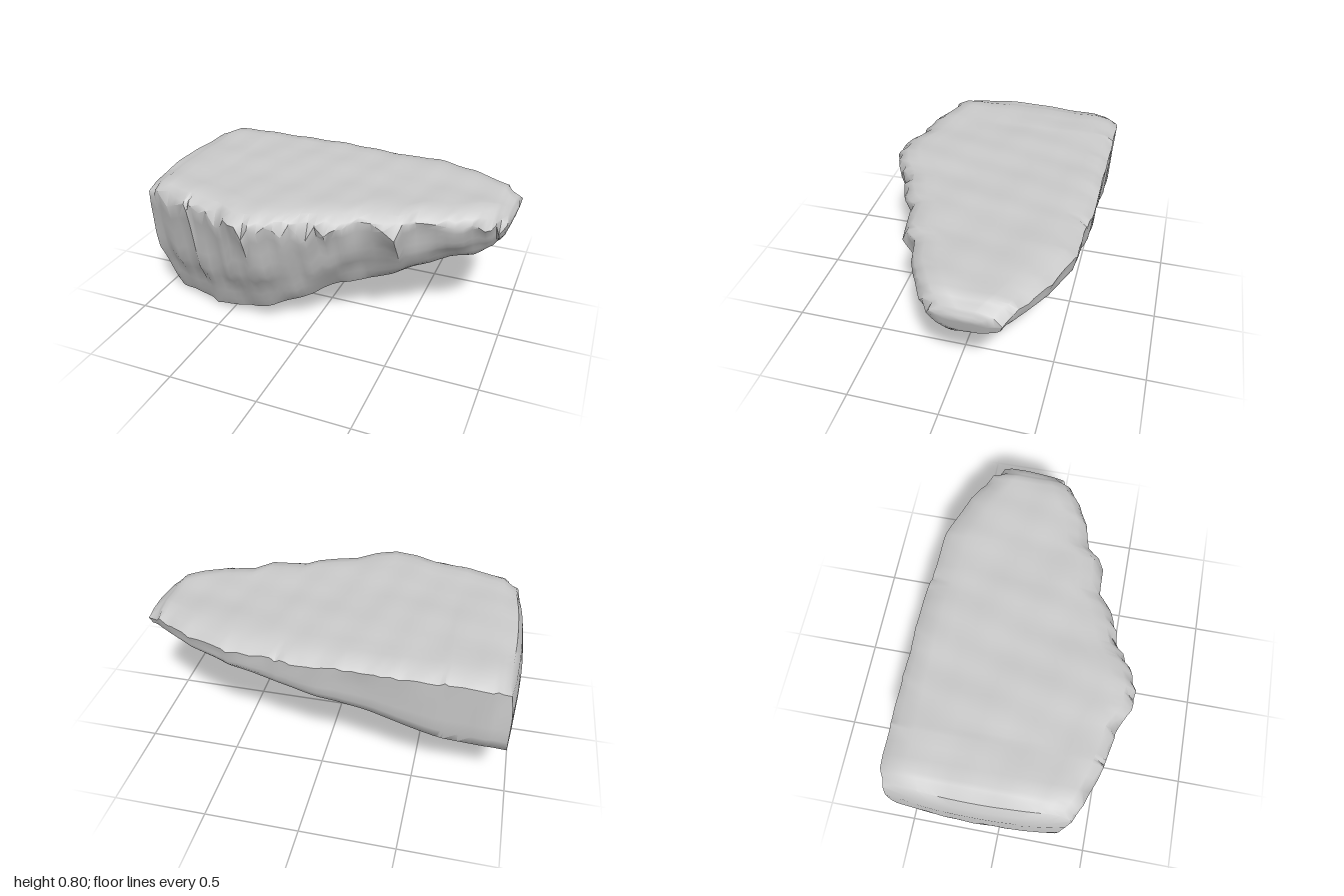
import * as THREE from 'three';
import { toCreasedNormals } from 'three/addons/utils/BufferGeometryUtils.js';

// Cross-sections along x: x, back rim z, front rim z, lower back z/y, lower front z/y, top y
const STATIONS = [
  [-0.93, -0.57, 0.39, -0.56, 0.36, 0.20, 0.00, 0.765],
  [-0.86, -0.60, 0.43, -0.57, 0.37, 0.24, 0.02, 0.79],
  [-0.65, -0.60, 0.50, -0.58, 0.40, 0.30, 0.03, 0.792],
  [-0.60, -0.60, 0.51, -0.58, 0.41, 0.32, 0.01, 0.79],
  [-0.45, -0.60, 0.54, -0.58, 0.44, 0.34, 0.05, 0.792],
  [-0.33, -0.60, 0.60, -0.58, 0.47, 0.35, 0.08, 0.792],
  [-0.22, -0.60, 0.61, -0.57, 0.49, 0.35, 0.12, 0.792],
  [-0.10, -0.60, 0.56, -0.57, 0.52, 0.31, 0.16, 0.792],
  [0.00, -0.60, 0.49, -0.57, 0.54, 0.27, 0.19, 0.79],
  [0.13, -0.59, 0.45, -0.56, 0.57, 0.20, 0.26, 0.79],
  [0.21, -0.58, 0.41, -0.56, 0.59, 0.17, 0.28, 0.79],
  [0.28, -0.57, 0.34, -0.55, 0.60, 0.13, 0.285, 0.79],
  [0.47, -0.57, 0.33, -0.54, 0.64, 0.11, 0.365, 0.79],
  [0.55, -0.54, 0.24, -0.51, 0.65, 0.09, 0.40, 0.79],
  [0.70, -0.49, 0.20, -0.46, 0.66, 0.04, 0.455, 0.79],
  [0.82, -0.43, 0.14, -0.41, 0.67, -0.01, 0.49, 0.79],
  [0.91, -0.38, 0.09, -0.36, 0.67, -0.05, 0.54, 0.785],
  [0.96, -0.33, 0.03, -0.31, 0.66, -0.09, 0.60, 0.755],
];
const SUB = 3;
const { lerp, clamp } = THREE.MathUtils;

function seeded(seed) {
  return () => (seed = (seed * 16807) % 2147483647) / 2147483647;
}

// Faces at the two ends: x from height, curving back away from the middle in z
const LEFT_END = [[0, -0.915], [0.1, -0.95], [0.35, -1.0], [0.6, -1.0], [0.72, -0.98], [0.77, -0.95]];
const TIP_END = [[0.58, 0.96], [0.66, 0.985], [0.71, 1.0], [0.76, 0.975]];

function profile(points, y) {
  const i = Math.max(1, points.findIndex((p) => p[0] >= y));
  const [y0, x0] = points[i - 1], [y1, x1] = points[i];
  return lerp(x0, x1, clamp((y - y0) / (y1 - y0), 0, 1));
}
const leftEnd = (p) => (p.x = profile(LEFT_END, Math.min(p.y, 0.77)) + 0.15 * (p.z + 0.1) ** 2);
const tipEnd = (p) => (p.x = profile(TIP_END, Math.min(p.y, 0.76)) - 0.3 * (p.z + 0.25) ** 2);

// Closed loop: top, chipped front rim, bulging front, rounded underside, back
function section([x, zb, zf, zbl, ybl, zfl, yfl, top], rnd) {
  const chip = clamp(rnd() * 1.7 - 0.7, 0, 1);
  const rimFront = top - 0.03 - 0.02 * rnd();
  const rimBack = top - 0.035 - 0.02 * rnd();
  const chipLow = rimFront - 0.01 - chip * Math.min(0.08, 0.5 * (rimFront - yfl));
  const tall = chipLow - yfl;
  const span = zfl - zbl;
  const under = (t, drop) => [lerp(zfl, zbl, t), lerp(yfl, ybl, t) - drop];
  const corners = [
    [zb + 0.13, top, 13],
    [zf - 0.13, top, 1],
    [zf - 0.06, top - 0.01, 1],
    [zf - 0.008 - 0.03 * chip, rimFront, 1],
    [zf, chipLow, 4],
    [lerp(zf, zfl, 0.5) + 0.02, lerp(chipLow, yfl, 0.55), 4],
    [lerp(zf, zfl, 0.9) + 0.01, yfl + tall * 0.1, 1],
    [zfl, yfl + 0.008, 1],
    [...under(0.08, 0.005), 5],
    [...under(0.5, 0.02), 5],
    [...under(0.88, 0.02 * clamp(span * 2, 0, 1)), 1],
    [zbl + 0.01, ybl - 0.01, 1],
    [lerp(zbl, zb, 0.4), lerp(ybl, rimBack, 0.15), 4],
    [zb, rimBack, 1],
    [zb + 0.05, top - 0.012, 1],
  ];
  return corners.flatMap(([z, y, n], c) => {
    const [z2, y2] = corners[(c + 1) % corners.length];
    return Array.from({ length: n }, (_, k) => new THREE.Vector3(x, lerp(y, y2, k / n), lerp(z, z2, k / n)));
  });
}

// Copies of an end loop shrunk towards its centre to close the end
function capLoops(loop, shape) {
  const c = new THREE.Vector3();
  loop.forEach((p) => c.addScaledVector(p, 1 / loop.length));
  return [0.8, 0.6, 0.4, 0.2, 0].map((t) => loop.map((p) => {
    const q = c.clone().lerp(p, t);
    shape(q);
    return q;
  }));
}

// Gentle weathering of the stone surface
function weather(p) {
  const { x, y, z } = p;
  const a = Math.sin(7 * x + 3 * z + 2) * Math.sin(9 * z - 4 * x + 5 * y);
  const b = Math.sin(17 * x - 9 * z + 3) * Math.sin(16 * z + 11 * x + 9 * y + 1);
  const calm = y > 0.7 || y < 0.06 ? 0.5 : 1;
  p.y += (0.010 * a + 0.008 * b) * calm;
  p.z += (0.006 * a - 0.007 * b) * calm;
}

function stoneGeometry() {
  const rnd = seeded(71);
  const loops = [];
  const last = STATIONS.length - 1;
  for (let i = 0; i <= last * SUB; i++) {
    const k = Math.min(Math.floor(i / SUB), last - 1);
    const t = i / SUB - k;
    loops.push(section(STATIONS[k].map((v, n) => lerp(v, STATIONS[k + 1][n], t)), rnd));
  }
  loops[0].forEach(leftEnd);
  loops[last * SUB].forEach(tipEnd);
  const rings = [
    ...capLoops(loops[0], leftEnd).reverse(),
    ...loops,
    ...capLoops(loops[last * SUB], tipEnd),
  ];
  const n = rings[0].length;
  const pos = [], index = [];
  rings.forEach((ring, i) => ring.forEach((p, j) => {
    weather(p);
    pos.push(p.x, p.y, p.z);
    if (i === rings.length - 1) return;
    const a = i * n + j, b = i * n + (j + 1) % n;
    index.push(a, b, a + n, b, b + n, a + n);
  }));
  const geo = new THREE.BufferGeometry();
  geo.setAttribute('position', new THREE.Float32BufferAttribute(pos, 3));
  geo.setIndex(index);

  // Stand on the ground
  geo.computeBoundingBox();
  geo.translate(0, -geo.boundingBox.min.y, 0);
  return toCreasedNormals(geo, 0.85);
}

export function createModel() {
  const group = new THREE.Group();
  group.name = 'rockLedge';
  const stone = new THREE.Mesh(
    stoneGeometry(),
    new THREE.MeshStandardMaterial({ color: 0xcccccc }),
  );
  stone.name = 'stone';
  group.add(stone);
  return group;
}
